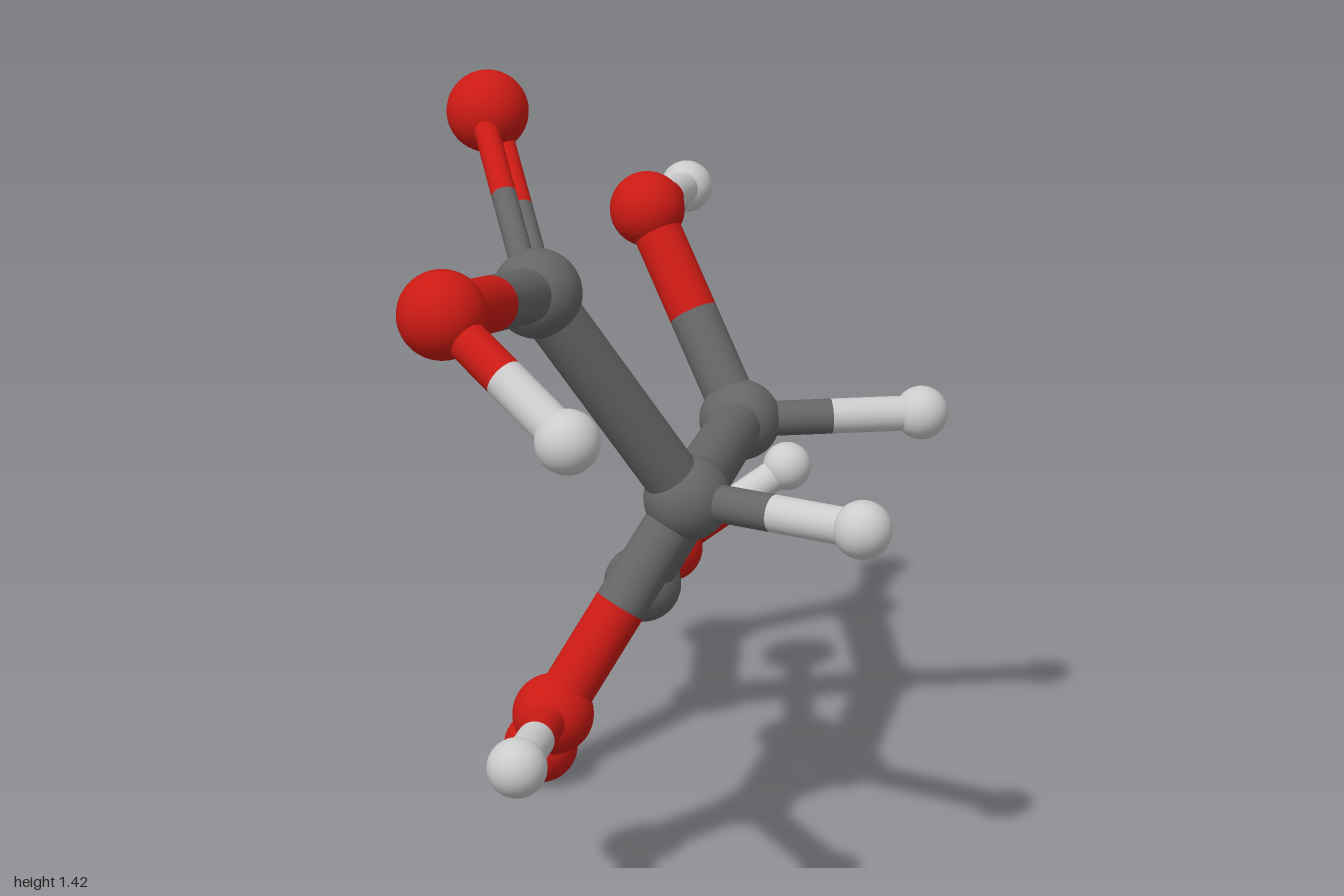
import * as THREE from 'three';

const ELEMENTS = {
  carbon: { radius: 0.075, color: 0x666666 },
  oxygen: { radius: 0.07, color: 0xcc1a14 },
  hydrogen: { radius: 0.05, color: 0xd9d9d9 },
};
const MID_Y = 0.712; // height of the two-fold axis

for (const e of Object.values(ELEMENTS)) e.material = new THREE.MeshStandardMaterial({ color: e.color });

// Atoms of one half: element and position
const ATOMS = {
  chainCarbon: ['carbon', 0.03, 0.712, 0.24],
  acidCarbon: ['carbon', -0.19, 1.1, 0.395],
  carbonylOxygen: ['oxygen', -0.335, 1.352, 0.15],
  acidOxygen: ['oxygen', -0.23, 1.172, 0.826],
  acidHydrogen: ['hydrogen', -0.005, 1.02, 0.95],
  hydroxylOxygen: ['oxygen', -0.175, 0.355, 0.385],
  hydroxylHydrogen: ['hydrogen', -0.162, 0.376, 0.682],
  chainHydrogen: ['hydrogen', 0.352, 0.712, 0.354],
};
const SINGLE_BONDS = [
  ['chainCarbon', 'acidCarbon'],
  ['acidCarbon', 'acidOxygen'],
  ['acidOxygen', 'acidHydrogen'],
  ['chainCarbon', 'hydroxylOxygen'],
  ['hydroxylOxygen', 'hydroxylHydrogen'],
  ['chainCarbon', 'chainHydrogen'],
];

const position = (name) => new THREE.Vector3(...ATOMS[name].slice(1)).setY(ATOMS[name][2] - MID_Y);
const element = (name) => ELEMENTS[ATOMS[name][0]];

// Cylinder running from a to b
function rod(name, a, b, radius, material) {
  const dir = b.clone().sub(a);
  const mesh = new THREE.Mesh(new THREE.CylinderGeometry(radius, radius, dir.length(), 32), material);
  mesh.position.copy(a).add(b).multiplyScalar(0.5);
  mesh.quaternion.setFromUnitVectors(new THREE.Vector3(0, 1, 0), dir.normalize());
  mesh.name = name;
  return mesh;
}

// Bond split at its middle into the colours of its two atoms
function bond(from, to, radius, offset = new THREE.Vector3()) {
  const group = new THREE.Group();
  group.name = `${from}To${to[0].toUpperCase()}${to.slice(1)}Bond`;
  const a = position(from).add(offset);
  const b = position(to).add(offset);
  const mid = a.clone().lerp(b, 0.5);
  group.add(rod('bondStart', a, mid, radius, element(from).material));
  group.add(rod('bondEnd', mid, b, radius, element(to).material));
  return group;
}

function createHalf(name) {
  const half = new THREE.Group();
  half.name = name;

  // Atoms
  for (const key of Object.keys(ATOMS)) {
    const { radius, material } = element(key);
    const ball = new THREE.Mesh(new THREE.SphereGeometry(radius, 40, 28), material);
    ball.position.copy(position(key));
    ball.name = key;
    half.add(ball);
  }

  // Single bonds, sized by the smaller atom
  for (const [a, b] of SINGLE_BONDS) {
    half.add(bond(a, b, 0.65 * Math.min(element(a).radius, element(b).radius)));
  }

  // Double bond: two thin rods side by side in the plane of the acid group
  const c = position('acidCarbon');
  const along = position('carbonylOxygen').sub(c).normalize();
  const side = position('acidOxygen').sub(c);
  side.addScaledVector(along, -side.dot(along)).setLength(0.027);
  for (const s of [-1, 1]) {
    half.add(bond('acidCarbon', 'carbonylOxygen', 0.021, side.clone().multiplyScalar(s)));
  }

  // This half's share of the central bond
  const inner = position('chainCarbon');
  half.add(rod('centralBond', inner, inner.clone().setZ(0), 0.65 * ELEMENTS.carbon.radius, ELEMENTS.carbon.material));
  half.position.y = MID_Y;
  return half;
}

export function createModel() {
  const model = new THREE.Group();
  model.name = 'molecule';
  const front = createHalf('frontHalf');
  const back = createHalf('backHalf');
  back.rotation.x = Math.PI; // half turn about the x axis
  model.add(front, back);
  return model;
}
